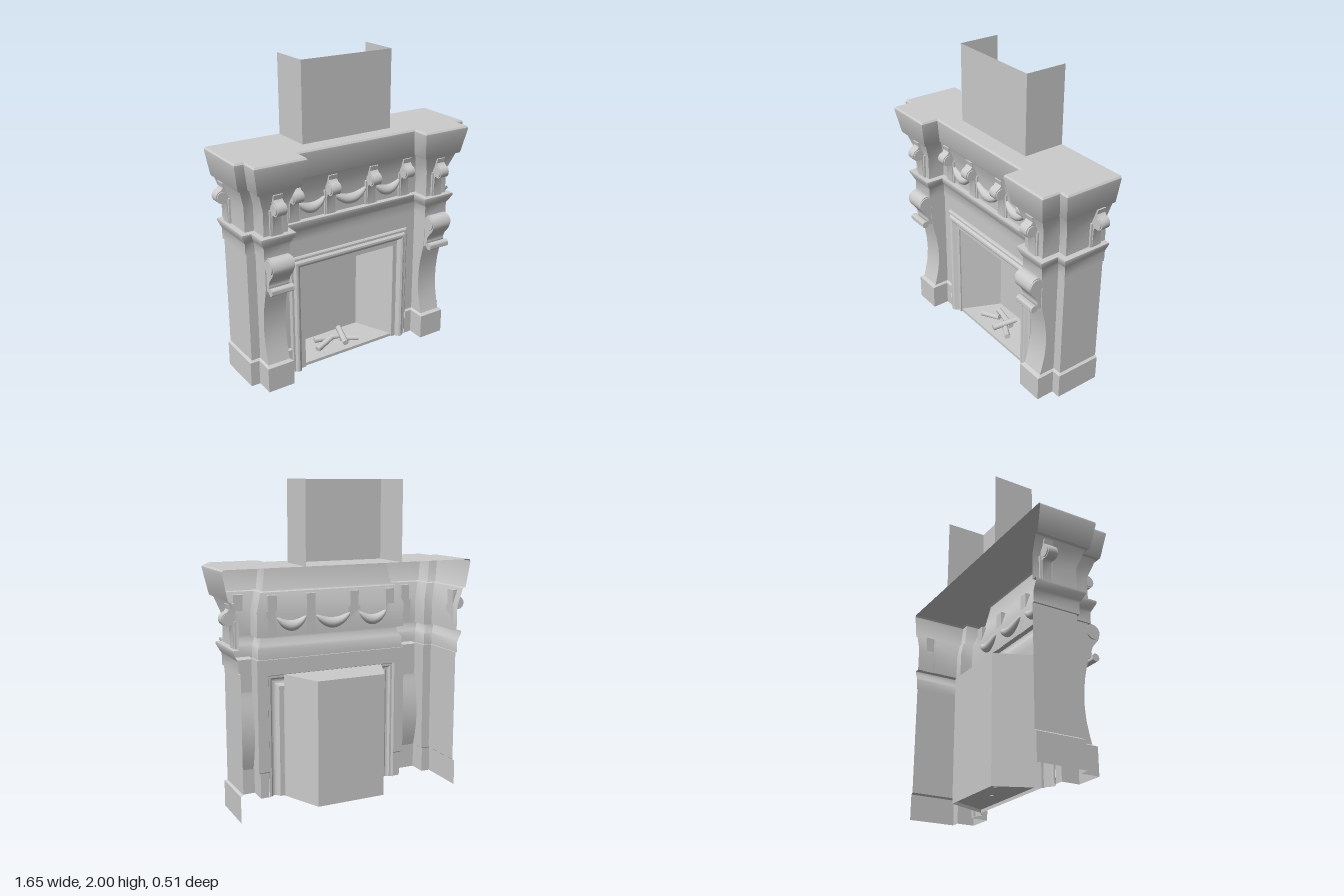
import * as THREE from 'three';
import { toCreasedNormals } from 'three/addons/utils/BufferGeometryUtils.js';

const mat = new THREE.MeshStandardMaterial({ color: 0xcccccc, side: THREE.DoubleSide });
const BACK = -0.255;

// Surface through rows of equally many [x, y, z] points
function loft(rows) {
  const pos = [], index = [], n = rows[0].length;
  rows.forEach((row) => row.forEach((p) => pos.push(...p)));
  for (let r = 0; r < rows.length - 1; r++) {
    for (let i = 0; i < n - 1; i++) {
      const a = r * n + i, d = a + n;
      index.push(a, a + 1, d + 1, a, d + 1, d);
    }
  }
  const g = new THREE.BufferGeometry();
  g.setAttribute('position', new THREE.Float32BufferAttribute(pos, 3));
  g.setIndex(index);
  return toCreasedNormals(g, 0.5);
}

// Side profile [outward, y] extruded to a width, outward along +z
function slice(points, width) {
  const shape = new THREE.Shape(points.map(([u, y]) => new THREE.Vector2(u, y)));
  const g = new THREE.ExtrudeGeometry(shape, { depth: width, bevelEnabled: false });
  g.translate(0, 0, -width / 2).rotateY(-Math.PI / 2);
  return toCreasedNormals(g, 0.6);
}

// Plan of one half (from the centre outward), grown by d
function halfPlan(d, front = 0.15 + d) {
  const c = 0.035 + d, s = 0.03 + d;
  return [[0.53 - d, c], [0.53 - d, front], [0.66 + d, front], [0.66 + d, s], [0.72 + d, s], [0.72 + d, BACK]];
}
const mirrored = (pts) => pts.map(([x, z]) => [-x, z]).reverse();
const fullPlan = (d) => { const h = halfPlan(d); return [...mirrored(h), ...h]; };
const atHeight = (pts, y) => pts.map(([x, z]) => [x, y, z]);

export function createModel() {
  const model = new THREE.Group();
  const add = (name, geometry, parent = model) => {
    const m = new THREE.Mesh(geometry, mat);
    m.name = name;
    parent.add(m);
    return m;
  };

  // Plinths and concave pilasters, [y, growth, front z]
  const jambLevels = [
    [0, 0.025, 0.175], [0.165, 0.025, 0.175], [0.175, 0.01, 0.15], [0.23, 0.01, 0.135],
    [0.31, 0.01, 0.118], [0.4, 0.01, 0.11], [0.49, 0.01, 0.114], [0.57, 0.01, 0.125],
    [0.64, 0.01, 0.142], [0.7, 0.01, 0.155], [0.9, 0.01, 0.155],
  ];
  for (const side of [1, -1]) {
    add(side > 0 ? 'leftJamb' : 'rightJamb', loft(jambLevels.map(([y, d, f]) => {
      const pts = [[0.45, 0.035 + d], ...halfPlan(d, f)];
      return atHeight(side > 0 ? pts : mirrored(pts), y);
    })));
  }
  add('lintel', loft([0.8, 0.9].map((y) => [[-0.52, y, 0.045], [0.52, y, 0.045]])));

  // Lower moulding, frieze and flared mantel, [y, growth]
  const entablature = [
    [0.9, 0.01], [0.9, 0.022], [0.97, 0.022], [0.985, 0.03], [1.025, 0.05], [1.04, 0.05], [1.042, 0.015],
    [1.2, 0.015], [1.315, 0.055], [1.32, 0.072], [1.328, 0.076], [1.48, 0.105], [1.49, 0.105], [1.5, 0.097],
  ];
  add('entablature', loft(entablature.map(([y, d]) => atHeight(fullPlan(d), y))));
  const top = new THREE.ShapeGeometry(
    new THREE.Shape(fullPlan(0.097).map(([x, z]) => new THREE.Vector2(x, -z))));
  add('mantelTop', top.rotateX(-Math.PI / 2).translate(0, 1.5, 0));

  // Chimney breast, open at back and top
  const flue = [[-0.32, BACK], [-0.32, 0.02], [0.32, 0.02], [0.32, BACK]];
  add('chimneyBreast', loft([1.5, 2].map((y) => atHeight(flue, y))));

  // Moulded frame round the opening, [inset, z] from inner to outer edge
  const frame = [[0.105, 0.035], [0.105, 0.05], [0.075, 0.05], [0.068, 0.06], [0.058, 0.074],
    [0.045, 0.08], [0.033, 0.077], [0.022, 0.064], [0.008, 0.064], [0, 0.058], [0, 0.045]];
  add('openingFrame', loft(frame.map(([o, z]) => [
    [o - 0.45, 0, z], [o - 0.45, 0.8 - o, z], [0.45 - o, 0.8 - o, z], [0.45 - o, 0, z],
  ])));

  // Splayed firebox
  const box = [[-0.345, 0.04], [-0.23, -0.22], [0.23, -0.22], [0.345, 0.04]];
  add('fireboxWalls', loft([0, 0.8].map((y) => atHeight(box, y))));
  const slab = (y) => loft([
    [[-0.345, y, 0.04], [0.345, y, 0.04]], [[-0.23, y, -0.22], [0.23, y, -0.22]],
  ]);
  add('fireboxRoof', slab(0.8));
  add('hearth', slab(0.02));
  add('hearthEdge', loft([0, 0.02].map((y) => [[-0.345, y, 0.04], [0.345, y, 0.04]])));
  add('frameBacking', loft([0.69, 0.8].map((y) => [[-0.345, y, 0.04], [0.345, y, 0.04]])));

  // Logs: centre, turn, tilt, length
  const logs = [
    [-0.13, 0.05, -0.06, 0.3, 0.2, 0.15], [-0.06, 0.035, -0.13, -0.2, 0, 0.2],
    [0.015, 0.06, -0.07, 1.3, 0.15, 0.17], [0.06, 0.035, -0.05, -0.5, 0, 0.13],
  ];
  logs.forEach(([x, y, z, turn, tilt, len]) => {
    const log = add('log', toCreasedNormals(new THREE.CylinderGeometry(0.02, 0.02, len, 10).rotateZ(Math.PI / 2), 0.8));
    log.position.set(x, y, z);
    log.rotation.set(0, turn, tilt);
  });

  // Scroll brackets on the frieze
  const scroll = [[0, 1.04], [0.015, 1.04], [0.02, 1.165]];
  for (let i = 0; i <= 10; i++) {
    const a = -2.0 + (i / 10) * 3.4;
    scroll.push([0.044 + 0.041 * Math.cos(a), 1.213 + 0.041 * Math.sin(a)]);
  }
  scroll.push([0.038, 1.27], [0.045, 1.3], [0, 1.3]);
  const bracketGeo = slice(scroll, 0.06);
  const strapGeo = new THREE.BoxGeometry(0.085, 0.16, 0.012).translate(0, 1.12, 0.006);
  const eyeGeo = toCreasedNormals(
    new THREE.CylinderGeometry(0.034, 0.034, 0.074, 14).rotateZ(Math.PI / 2).translate(0, 1.213, 0.044), 0.8);
  const addBracket = (x, z, turn = 0) => {
    const b = new THREE.Group();
    b.name = 'scrollBracket';
    add('bracketScroll', bracketGeo, b);
    add('bracketStrap', strapGeo, b);
    add('bracketEye', eyeGeo, b);
    b.position.set(x, 0, z);
    b.rotation.y = turn;
    model.add(b);
  };

  // Consoles at the head of each pilaster
  const curve = new THREE.SplineCurve([
    [0.14, 0.895], [0.175, 0.908], [0.205, 0.908], [0.23, 0.89], [0.243, 0.855], [0.235, 0.82],
    [0.208, 0.785], [0.19, 0.76], [0.182, 0.735], [0.182, 0.715], [0.17, 0.69], [0.14, 0.685],
  ].map(([u, y]) => new THREE.Vector2(u, y)));
  const consoleGeo = slice(curve.getPoints(36).map((p) => [p.x, p.y]), 0.14);
  const roll = (r, w) => toCreasedNormals(new THREE.CylinderGeometry(r, r, w, 16).rotateZ(Math.PI / 2), 0.8);

  for (const s of [1, -1]) {
    addBracket(s * 0.595, 0.165);
    addBracket(s * 0.413, 0.05);
    addBracket(s * 0.152, 0.05);
    addBracket(s * 0.735, -0.17, s * Math.PI / 2);
    add('console', consoleGeo).position.x = s * 0.593;
    add('consoleUpperRoll', roll(0.045, 0.156)).position.set(s * 0.593, 0.858, 0.195);
    add('consoleLowerRoll', roll(0.024, 0.15)).position.set(s * 0.593, 0.7, 0.207);
  }

  // Hanging swags: ellipsoids bent upward at the ends
  const addSwag = (x, half) => {
    const g = new THREE.SphereGeometry(1, 20, 16).rotateZ(Math.PI / 2);
    const p = g.attributes.position;
    for (let i = 0; i < p.count; i++) {
      const u = p.getX(i);
      p.setXYZ(i, u * half, 1.105 + 0.034 * p.getY(i) + 0.052 * u * u, 0.05 + 0.036 * p.getZ(i));
    }
    g.computeVertexNormals();
    add('swag', g).position.x = x;
  };
  addSwag(0, 0.12);
  addSwag(0.285, 0.1);
  addSwag(-0.285, 0.1);

  return model;
}
